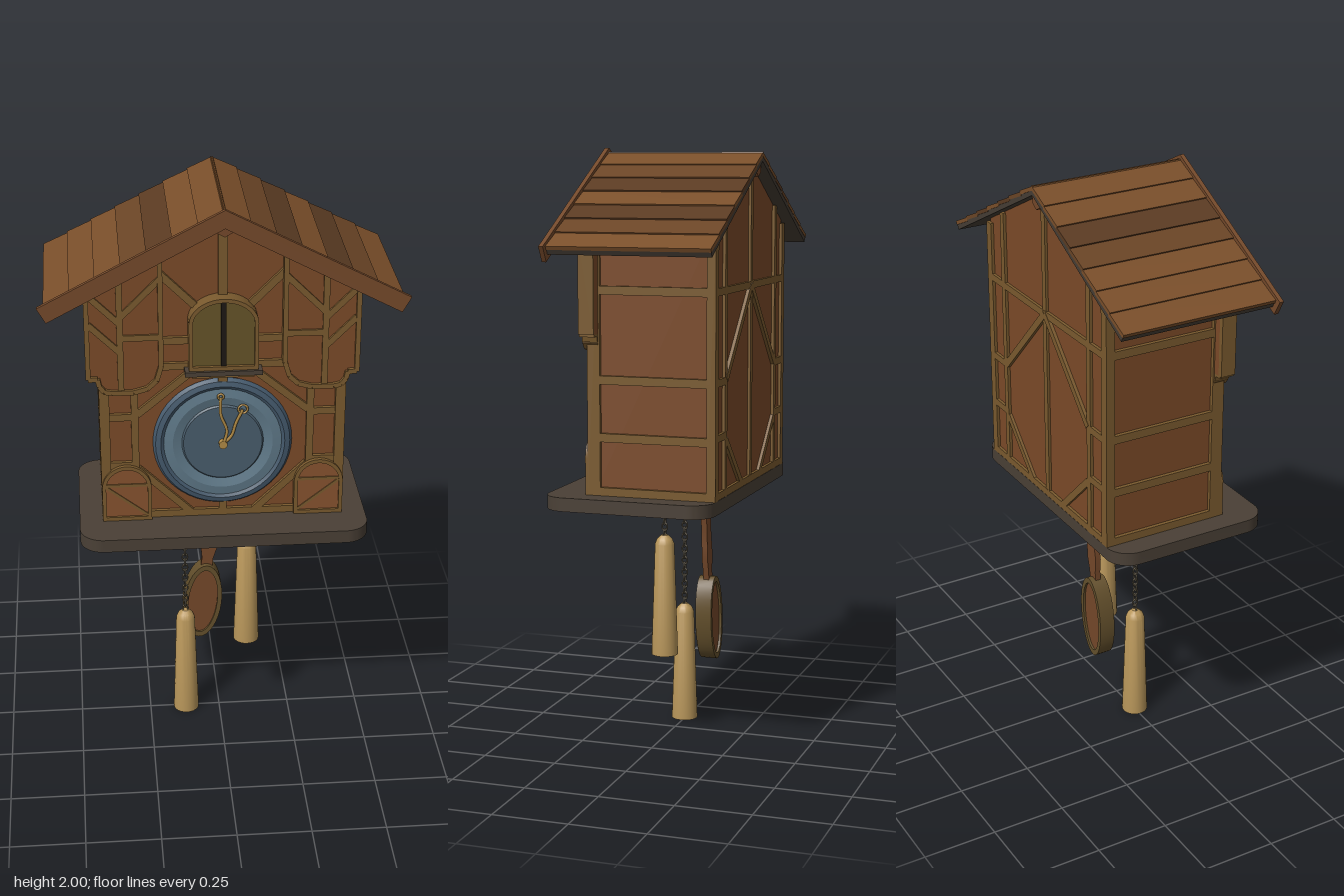
import * as THREE from 'three';
import { toCreasedNormals } from 'three/addons/utils/BufferGeometryUtils.js';

const mat = (color) => new THREE.MeshStandardMaterial({ color });
const WALL = mat(0x7b4a28), TIMBER = mat(0x7a5a2e), ARCH = mat(0x86522f), DOOR = mat(0x655428),
  BASE = mat(0x4a4036), DARK = mat(0x1c1813), GOLD = mat(0xb08a45), WOOD = mat(0xb8965a),
  CHAIN = mat(0x6b6250), SOFFIT = mat(0x453d34), ROD = mat(0x74482a), BARGE = mat(0x74492a);
const PLANKS = [mat(0x7a4f2a), mat(0x6b4526), mat(0x5b3b22)];
const SLOPE = 0.52, ANGLE = Math.atan(SLOPE);
const underRoof = (x) => 1.955 - SLOPE * Math.abs(x);

export function createModel() {
  const root = new THREE.Group();
  const add = (name, geo, material, parent = root) => {
    const m = new THREE.Mesh(geo, material);
    m.name = name;
    parent.add(m);
    return m;
  };
  const group = (name, parent = root) => {
    const g = new THREE.Group();
    g.name = name;
    parent.add(g);
    return g;
  };
  // box given by its limits
  const box = (name, x0, x1, y0, y1, z0, z1, m, parent) =>
    add(name, new THREE.BoxGeometry(x1 - x0, y1 - y0, z1 - z0), m, parent)
      .position.set((x0 + x1) / 2, (y0 + y1) / 2, (z0 + z1) / 2);
  // flat shape extruded between two z values
  const plate = (name, shape, z0, z1, m, parent) =>
    add(name, toCreasedNormals(new THREE.ExtrudeGeometry(shape,
      { depth: z1 - z0, bevelEnabled: false, curveSegments: 16 }).translate(0, 0, z0), 0.5), m, parent);
  const poly = (pts) => new THREE.Shape(pts.map((p) => new THREE.Vector2(...p)));
  // timber running between two points of a wall
  const beam = (name, [x0, y0], [x1, y1], w, z0, z1, m = TIMBER, parent = root) => {
    const b = add(name, new THREE.BoxGeometry(Math.hypot(x1 - x0, y1 - y0), w, z1 - z0), m, parent);
    b.position.set((x0 + x1) / 2, (y0 + y1) / 2, (z0 + z1) / 2);
    b.rotation.z = Math.atan2(y1 - y0, x1 - x0);
  };
  const archShape = (cx, hw, y0, spring, top) => {
    const s = new THREE.Shape();
    s.moveTo(cx - hw, y0);
    s.lineTo(cx + hw, y0);
    s.lineTo(cx + hw, spring);
    s.absellipse(cx, spring, hw, top - spring, 0, Math.PI, false, 0);
    s.closePath();
    return s;
  };
  const archFrame = (cx, hw, y0, spring, top, t) => {
    const s = archShape(cx, hw, y0, spring, top);
    s.holes.push(archShape(cx, hw - t, y0 + t, spring, top - t));
    return s;
  };

  // house walls
  const house = group('house');
  plate('walls', poly([[-0.39, 0.885], [0.39, 0.885], [0.39, underRoof(0.39)], [0, 1.955], [-0.39, underRoof(0.39)]]),
    -0.26, 0.145, WALL, house);

  // timber framing, mirrored left and right
  const frame = group('timberFrame');
  const strip = (a, b, z0, z1, w = 0.024) => beam('timber', a, b, w, z0, z1, TIMBER, frame);
  for (const s of [-1, 1]) {
    const outer = [0.37 * s, 0.403 * s].sort((a, b) => a - b);
    box('cornerPost', ...outer, 0.885, 1.74, 0.12, 0.163, TIMBER, frame);
    box('cornerPost', ...outer, 0.885, 1.74, -0.27, -0.24, TIMBER, frame);
    for (const y of [0.898, 1.075, 1.262, 1.55]) {
      box('sideRail', ...outer, y - 0.014, y + 0.014, -0.262, 0.14, TIMBER, frame);
    }
    // the same bays front and back
    for (const [z0, z1] of [[0.13, 0.158], [-0.27, -0.25]]) {
      strip([0.288 * s, 0.885], [0.288 * s, underRoof(0.288)], z0, z1);
      for (const y of [1.085, 1.262]) strip([0.288 * s, y], [0.39 * s, y], z0, z1);
      strip([0, 0.898], [0.39 * s, 0.898], z0, z1);
      strip([0.28 * s, 1.07], [0.1 * s, 0.895], z0, z1);
    }
    strip([0, 1.55], [0.39 * s, 1.55], -0.27, -0.25);
    strip([0, 1.55], [0.28 * s, 1.265], -0.271, -0.25);
    // front braces around the dial and the little door
    strip([0.28 * s, 1.27], [0.1 * s, 1.42], 0.13, 0.158);
    strip([0.1 * s, 1.53], [0.2 * s, 1.53], 0.13, 0.158);
    strip([0.08 * s, 1.64], [0.2 * s, 1.76], 0.13, 0.158);
    strip([0.1 * s, 1.44], [0.2 * s, 1.44], 0.13, 0.158);
  }
  strip([0, 0.885], [0, 1.94], -0.269, -0.25);
  strip([0, 0.885], [0, 0.94], 0.13, 0.158);
  strip([0, 1.38], [0, 1.94], 0.13, 0.16, 0.03);

  // overhanging upper panels with scalloped bottoms, and arched corner panels
  for (const s of [-1, 1]) {
    const p = group(s > 0 ? 'upperPanelLeft' : 'upperPanelRight');
    const pts = [[0.435, underRoof(0.435)], [0.435, 1.41], [0.405, 1.41], [0.4, 1.385], [0.385, 1.365], [0.36, 1.36],
      [0.29, 1.36], [0.245, 1.372], [0.215, 1.4], [0.2, 1.45], [0.2, underRoof(0.2)]].map(([x, y]) => [x * s, y]);
    plate('panel', poly(pts), 0.125, 0.165, WALL, p);
    for (let i = 0; i < pts.length - 1; i++) beam('panelEdge', pts[i], pts[i + 1], 0.016, 0.125, 0.177, TIMBER, p);
    for (const [a, b] of [[[0.33, 1.365], [0.33, 1.78]], [[0.33, 1.5], [0.43, 1.6]], [[0.33, 1.6], [0.43, 1.7]],
      [[0.2, 1.75], [0.33, 1.62]], [[0.33, 1.55], [0.2, 1.55]]]) {
      beam('panelTimber', [a[0] * s, a[1]], [b[0] * s, b[1]], 0.02, 0.16, 0.173, TIMBER, p);
    }
    const c = group(s > 0 ? 'cornerArchLeft' : 'cornerArchRight');
    plate('archPanel', archShape(0.32 * s, 0.08, 0.885, 1.005, 1.085), 0.14, 0.164, ARCH, c);
    plate('archRim', archFrame(0.32 * s, 0.082, 0.885, 1.005, 1.088, 0.013), 0.14, 0.172, TIMBER, c);
    beam('archBar', [0.245 * s, 1.015], [0.395 * s, 1.015], 0.01, 0.16, 0.168, TIMBER, c);
    beam('archBrace', [0.39 * s, 1.01], [0.25 * s, 0.9], 0.009, 0.16, 0.168, TIMBER, c);
  }

  // roof: lapped planks on a dark soffit
  const shades = { 1: [0, 1, 2, 0, 2, 1, 0], '-1': [0, 0, 2, 1, 0, 0, 0] };
  for (const s of [-1, 1]) {
    const r = group(s > 0 ? 'roofLeft' : 'roofRight');
    r.position.y = 1.988;
    r.rotation.z = -s * ANGLE;
    const len = 0.637, w = len / 7;
    for (let i = 0; i < 7; i++) {
      const b = add('roofPlank', new THREE.BoxGeometry(w + 0.004, 0.013, 0.54), PLANKS[shades[s][i]], r);
      b.position.set(s * (i + 0.5) * w, -0.007, -0.035);
      b.rotation.z = s * 0.05;
    }
    const soffit = add('soffit', new THREE.BoxGeometry(len, 0.018, 0.538), SOFFIT, r);
    soffit.position.set(s * len / 2, -0.02, -0.035);
  }
  plate('bargeBoard', poly([[0, 2], [-0.588, 1.695], [-0.56, 1.645], [0, 1.94], [0.56, 1.645], [0.588, 1.695]]),
    0.235, 0.25, BARGE);
  const ridge = add('ridgeBeam', new THREE.CylinderGeometry(0.03, 0.03, 0.52, 6), ROD);
  ridge.geometry.rotateX(Math.PI / 2);
  ridge.position.set(0, 1.935, -0.03);

  // arched double door on a ledge
  const door = group('birdDoor');
  plate('doorLeaves', archShape(0, 0.105, 1.445, 1.6, 1.68), 0.14, 0.188, DOOR, door);
  plate('doorFrame', archFrame(0, 0.112, 1.44, 1.6, 1.687, 0.013), 0.14, 0.2, TIMBER, door);
  box('doorGap', -0.008, 0.008, 1.45, 1.68, 0.18, 0.193, DARK, door);
  box('doorLedge', -0.125, 0.125, 1.422, 1.438, 0.14, 0.205, BASE, door);
  box('ledgeBracket', -0.1, 0.1, 1.405, 1.424, 0.14, 0.18, TIMBER, door);

  // stepped dial
  const dial = group('dial');
  dial.position.set(0, 1.16, 0.137);
  for (const [name, color, pts] of [
    ['dialRim', 0x44596c, [[0.23, 0], [0.23, 0.012], [0.222, 0.024], [0.205, 0.028], [0.195, 0.022]]],
    ['dialRing', 0x607a8a, [[0.195, 0.022], [0.165, 0.026], [0.135, 0.018]]],
    ['dialFace', 0x485c6b, [[0.135, 0.018], [0.13, 0.024], [0, 0.024]]]]) {
    const g = new THREE.LatheGeometry(pts.map((q) => new THREE.Vector2(...q)), 48).rotateX(Math.PI / 2);
    add(name, toCreasedNormals(g, 0.25), mat(color), dial);
  }
  // hands
  const hand = (name, pts, ringR, z) => {
    const h = group(name, dial);
    const path = new THREE.CatmullRomCurve3(pts.map(([x, y]) => new THREE.Vector3(x, y, z)));
    add('handStem', new THREE.TubeGeometry(path, 16, 0.0055, 6), GOLD, h);
    const [x, y] = pts[pts.length - 1];
    add('handLoop', new THREE.TorusGeometry(ringR, 0.004, 6, 14), GOLD, h).position.set(x, y, z);
  };
  hand('minuteHand', [[0, 0], [0.012, 0.05], [-0.008, 0.11], [-0.008, 0.175]], 0.009, 0.038);
  hand('hourHand', [[0, 0], [0.028, 0.03], [0.042, 0.075], [0.065, 0.125]], 0.015, 0.033);
  const hub = add('handHub', new THREE.CylinderGeometry(0.014, 0.014, 0.022, 16).rotateX(Math.PI / 2), GOLD, dial);
  hub.position.z = 0.033;

  // base board with opening
  const X = 0.48, Z = 0.285, R = 0.08, board = new THREE.Shape();
  board.moveTo(X, Z - R);
  [[1, 1, 0], [-1, 1, 1], [-1, -1, 2], [1, -1, 3]].forEach(([sx, sz, q]) =>
    board.absarc(sx * (X - R), sz * (Z - R), R, q * Math.PI / 2, (q + 1) * Math.PI / 2, false));
  board.holes.push(poly([[-0.125, -0.032], [0.125, -0.032], [0.125, 0.137], [-0.125, 0.137]]));
  const baseGeo = new THREE.ExtrudeGeometry(board, { depth: 0.045, bevelEnabled: false, curveSegments: 8 });
  add('baseBoard', toCreasedNormals(baseGeo.rotateX(-Math.PI / 2).translate(0, 0.84, 0.015), 0.5), BASE);
  box('shaftCeiling', -0.15, 0.15, 0.88, 0.884, -0.15, 0.08, DARK);
  // tapered four-sided collar below the base
  const collarPts = [[0.125, 0], [0.17, 0], [0.2, 0.048], [0.125, 0.048], [0.125, 0]]
    .map(([r, y]) => new THREE.Vector2(r * Math.SQRT2, y));
  const collarMat = mat(0x4a4036);
  collarMat.flatShading = true;
  const collar = add('collar', new THREE.LatheGeometry(collarPts, 4, Math.PI / 4), collarMat);
  collar.scale.z = 0.675;
  collar.position.set(0, 0.793, -0.038);

  // weights on chains
  const weightGeo = toCreasedNormals(new THREE.LatheGeometry([[0, 0], [0.045, 0], [0.045, 0.012], [0.033, 0.385],
    [0.026, 0.402], [0.012, 0.415], [0, 0.415]].map((q) => new THREE.Vector2(...q)), 24), 0.6);
  const linkGeo = new THREE.TorusGeometry(0.011, 0.0033, 5, 10).scale(0.85, 1.25, 1);
  for (const [name, x, y] of [['weightRight', -0.12, 0], ['weightLeft', 0.097, 0.288]]) {
    const w = group(name);
    w.position.set(x, y, 0.005);
    add('weightBody', weightGeo, WOOD, w);
    for (let i = 0, ly = 0.422; y + ly < 0.87; i++, ly += 0.021) {
      const link = add('chainLink', linkGeo, CHAIN, w);
      link.position.y = ly;
      link.rotation.y = i % 2 ? Math.PI / 2 : 0;
    }
  }

  // pendulum with wavy rod and oval bob
  const pendulum = group('pendulum');
  pendulum.position.set(0, 0.86, -0.107);
  pendulum.rotation.z = -0.11;
  const half = [[0.028, 0], [0.028, -0.08], [0.022, -0.15], [0.026, -0.21], [0.03, -0.25], [0.02, -0.3], [0.02, -0.36]];
  plate('pendulumRod', poly([...half.map(([x, y]) => [-x, y]), ...half.slice().reverse()]), -0.01, 0.01, ROD, pendulum);
  const oval = (hw, hh) => new THREE.Shape().absellipse(0, -0.472, hw, hh, 0, Math.PI * 2, false, 0);
  const rim = oval(0.068, 0.15);
  rim.holes.push(oval(0.052, 0.13));
  plate('bobRim', rim, -0.028, 0.028, mat(0x64502c), pendulum);
  plate('bobFace', oval(0.055, 0.133), -0.02, 0.02, ROD, pendulum);

  return root;
}
